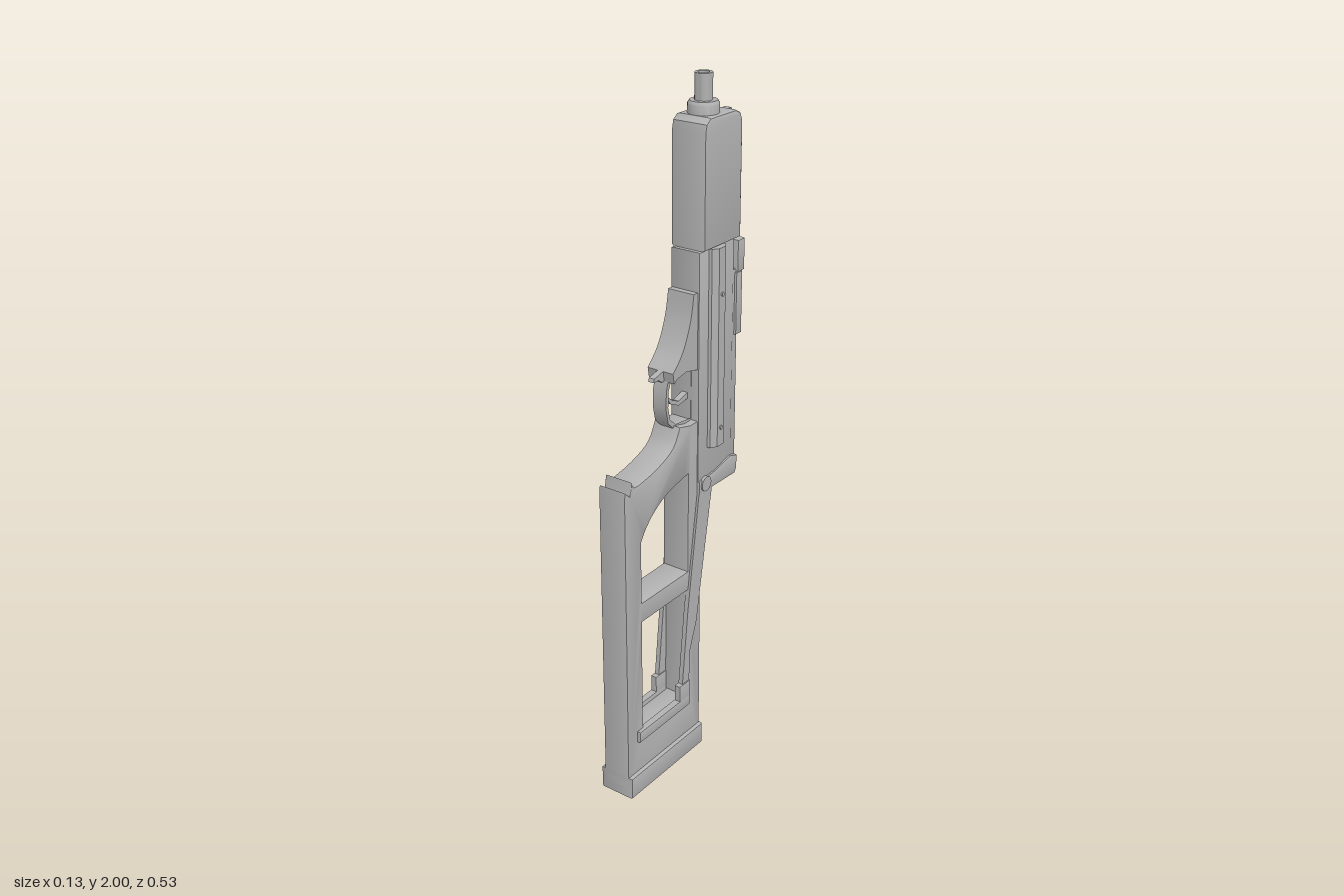
import * as THREE from 'three';
import { toCreasedNormals } from 'three/addons/utils/BufferGeometryUtils.js';

const CX = -0.005; // centre plane of the body

export function createModel() {
  const root = new THREE.Group();
  const grey = new THREE.MeshStandardMaterial({ color: 0xb2b2b2 });
  grey.name = 'grey';

  function add(name, geo, parent = root) {
    const m = new THREE.Mesh(geo, grey);
    m.name = name;
    parent.add(m);
    return m;
  }
  const toVec = (pts) => pts.map(([z, y]) => new THREE.Vector2(-z, y));
  // Side profile given as [z, y] points, extruded across x
  function profile(name, pts, width, x = CX, bevel = 0, holes = []) {
    const shape = new THREE.Shape(toVec(pts));
    holes.forEach((h) => shape.holes.push(new THREE.Path(toVec(h))));
    const geo = new THREE.ExtrudeGeometry(shape, {
      depth: width - 2 * bevel, bevelEnabled: bevel > 0, bevelSize: bevel,
      bevelOffset: -bevel, bevelThickness: bevel, bevelSegments: 2,
    });
    geo.translate(0, 0, -width / 2 + bevel);
    geo.rotateY(Math.PI / 2);
    const m = add(name, toCreasedNormals(geo, 0.6));
    m.position.x = x;
    return m;
  }
  // Box from its limits
  function box(name, x0, x1, y0, y1, z0, z1) {
    const m = add(name, new THREE.BoxGeometry(x1 - x0, y1 - y0, z1 - z0));
    m.position.set((x0 + x1) / 2, (y0 + y1) / 2, (z0 + z1) / 2);
    return m;
  }
  const rect = (z0, z1, y0, y1) => [[z0, y0], [z1, y0], [z1, y1], [z0, y1]];
  const spline = (pts, n) => new THREE.SplineCurve(pts.map((p) => new THREE.Vector2(...p)))
    .getPoints(n).map((p) => [p.x, p.y]);

  // Stepped tube and collar at the top
  const tube = add('tube', toCreasedNormals(new THREE.LatheGeometry([
    [0, 1.95], [0.015, 1.95], [0.015, 2], [0.024, 2], [0.024, 1.93],
    [0.037, 1.93], [0.042, 1.922], [0.042, 1.88], [0, 1.88],
  ].reverse().map((p) => new THREE.Vector2(...p)), 24), 0.6));
  tube.position.set(CX, 0, -0.138);

  // Shroud with rounded upper corners
  profile('shroud', [
    [-0.072, 1.55], [-0.072, 1.86], [-0.077, 1.883], [-0.095, 1.897],
    [-0.21, 1.897], [-0.231, 1.887], [-0.24, 1.865], [-0.24, 1.55],
  ], 0.11, CX, 0.008);
  profile('sight', [
    [-0.235, 1.89], [-0.25, 1.89], [-0.26, 1.87], [-0.255, 1.845], [-0.248, 1.845],
    [-0.245, 1.825], [-0.235, 1.825],
  ], 0.02);

  // Receiver body
  profile('receiver', rect(-0.06, -0.222, 0.87, 1.55), 0.094, CX, 0.006);
  profile('receiverCap', [
    [-0.06, 0.845], [-0.235, 0.845], [-0.245, 0.86], [-0.245, 0.9], [-0.21, 0.91],
    [-0.14, 0.892], [-0.06, 0.885],
  ], 0.104, CX, 0.005);
  profile('rearCover', rect(-0.2, -0.246, 0.88, 1.46), 0.086, CX, 0.005);
  profile('rearPanel', rect(-0.23, -0.258, 1.27, 1.45), 0.1, CX, 0.004);
  profile('rearBlock', rect(-0.235, -0.267, 1.45, 1.54), 0.1, CX, 0.004);
  box('rearBlockLink', -0.04, 0.03, 1.46, 1.52, -0.24, -0.215);

  // Tapered strip along the +x side with two pins
  const strip = new THREE.Shape([[0.035, 0.1], [0.05, 0.105], [0.062, 0.122],
    [0.062, 0.152], [0.05, 0.167], [0.035, 0.17]].map((p) => new THREE.Vector2(...p)));
  const stripGeo = new THREE.ExtrudeGeometry(strip, { depth: 0.575, bevelEnabled: false });
  stripGeo.rotateX(-Math.PI / 2);
  add('sideStrip', stripGeo).position.y = 0.975;
  for (const y of [1.03, 1.42]) {
    const pin = add('stripPin', new THREE.CylinderGeometry(0.006, 0.006, 0.01, 10));
    pin.rotation.z = Math.PI / 2;
    pin.position.set(0.061, y, -0.137);
  }

  // Handle and small lever on the -x side
  box('handleArm', -0.062, -0.045, 1.435, 1.46, -0.25, -0.14);
  box('handleGrip', -0.064, -0.045, 1.36, 1.46, -0.165, -0.138);
  box('lever', -0.058, -0.045, 1.06, 1.08, -0.17, -0.09);
  box('leverTip', -0.058, -0.045, 1.06, 1.1, -0.1, -0.085);

  // Curved front grip with a small spur
  profile('foreGrip', [
    ...spline([[-0.042, 1.44], [-0.028, 1.37], [0.005, 1.295], [0.05, 1.245]], 12),
    [0.045, 1.215], [0.03, 1.225], [-0.01, 1.232], [-0.065, 1.22], [-0.065, 1.44],
  ], 0.084, CX);
  profile('spur', [[0.03, 1.215], [0.055, 1.215], [0.07, 1.226], [0.092, 1.226],
    [0.088, 1.236], [0.05, 1.245], [0.03, 1.25]], 0.018);

  // Guard loop and trigger
  const outer = [[-0.065, 1.06], [0.02, 1.07], [0.045, 1.095], [0.055, 1.14],
    [0.053, 1.19], [0.04, 1.235], [-0.065, 1.235]];
  const inner = [[-0.058, 1.075], [0.012, 1.082], [0.036, 1.103], [0.045, 1.14],
    [0.043, 1.188], [0.028, 1.225], [-0.058, 1.225]];
  profile('triggerGuard', outer, 0.044, CX, 0, [inner]);
  profile('trigger', [[-0.065, 1.13], [-0.02, 1.122], [0.015, 1.138], [0.038, 1.165],
    [0.034, 1.168], [0.01, 1.148], [-0.02, 1.135], [-0.065, 1.148]], 0.018);

  // Skeleton stock with two openings
  const arch = spline([[0.195, 0.805], [0.17, 0.84], [0.13, 0.875], [0.07, 0.905], [-0.02, 0.925]], 12);
  profile('stock', [
    [-0.08, 0.03], [-0.08, 1.07], [-0.03, 1.068], [0.02, 1.08],
    ...spline([[0.022, 1.075], [0.045, 1.035], [0.08, 1.012], [0.14, 0.992], [0.205, 0.98]], 10),
    [0.225, 0.982], [0.234, 1.0], [0.242, 0.962], [0.262, 0.98], [0.265, 0.96], [0.265, 0.03],
  ], 0.086, CX, 0.003, [
    rect(0.195, -0.02, 0.19, 0.555),
    [[-0.02, 0.615], [0.195, 0.615], ...arch],
  ]);
  profile('buttPlate', rect(0.265, -0.08, 0, 0.068), 0.112, CX, 0.006);

  // Folding struts, one on each side
  for (const s of [-1, 1]) {
    const x = CX + s * 0.043;
    profile('strut', [
      [-0.06, 0.87], [-0.06, 0.84], [-0.01, 0.49], [0.016, 0.25], [-0.018, 0.25],
      [-0.02, 0.35], [-0.053, 0.44], [-0.08, 0.6], [-0.122, 0.84], [-0.122, 0.87],
    ], 0.014, x);
    profile('strutFoot', rect(0.032, -0.018, 0.17, 0.255), 0.02, x, 0.003);
    profile('strutBar', rect(0.222, -0.015, 0.17, 0.205), 0.022, x, 0.004);
    const pivot = add('strutPivot', new THREE.CylinderGeometry(0.022, 0.022, 0.02, 16));
    pivot.rotation.z = Math.PI / 2;
    pivot.position.set(CX + s * 0.046, 0.87, -0.09);
  }

  return root;
}
